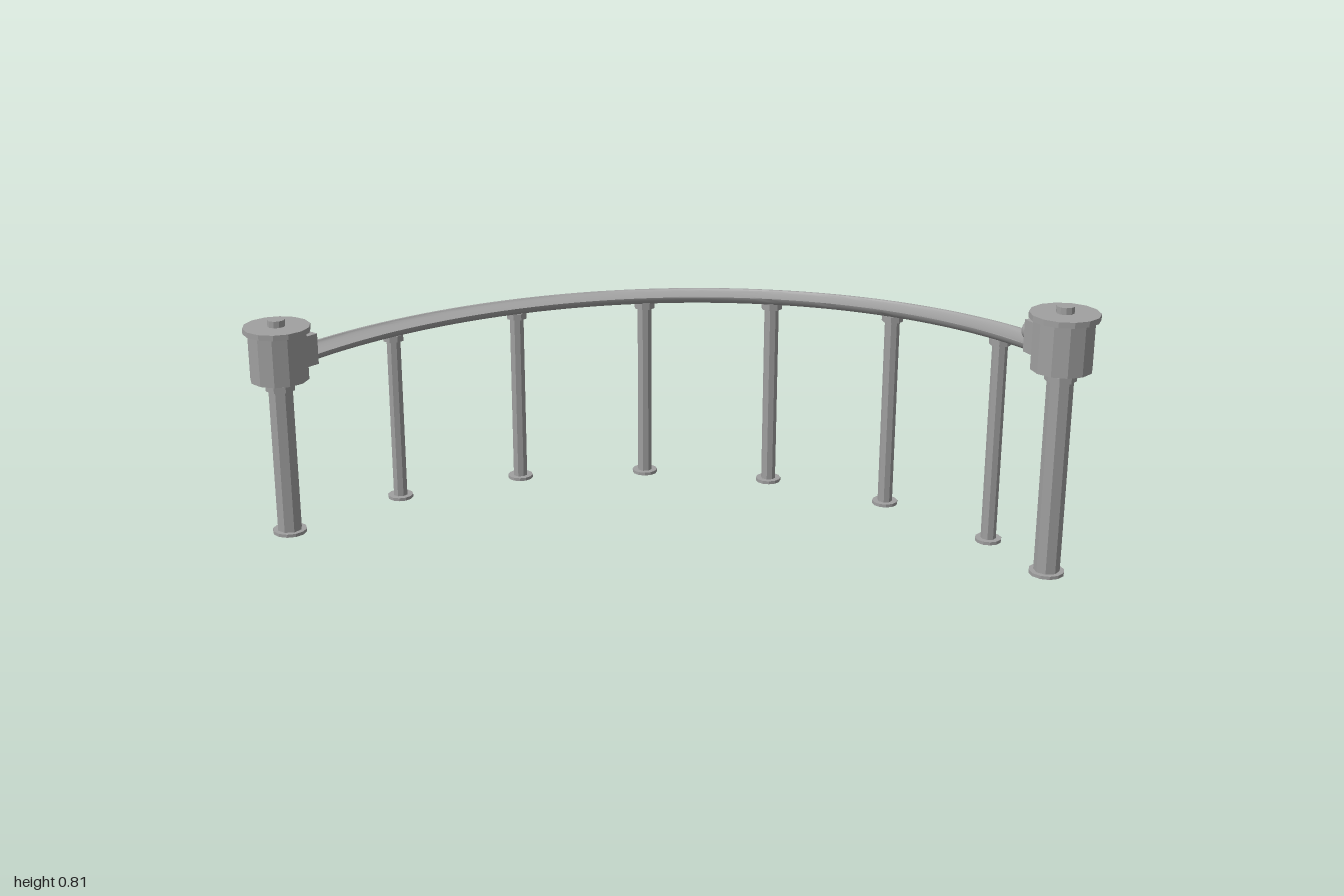
import * as THREE from 'three';
import { toCreasedNormals } from 'three/addons/utils/BufferGeometryUtils.js';

const CX = -0.405, CZ = 0.535, R = 1.31;   // centre and radius of the curved run
const A0 = -18.5, A1 = 94.5;               // start and end angles in degrees
const rad = THREE.MathUtils.degToRad;
const rimY = a => 0.555 + 0.123 * (a - A0) / (A1 - A0);
const onArc = (a, y = 0, out = 0) => new THREE.Vector3(
  CX + (R + out) * Math.sin(rad(a)), y, CZ - (R + out) * Math.cos(rad(a)));

export function createModel() {
  const model = new THREE.Group();
  const grey = new THREE.MeshStandardMaterial({ color: 0xa0a0a0 });
  grey.name = 'grey';

  const add = (parent, name, geometry, x = 0, y = 0, z = 0) => {
    const mesh = new THREE.Mesh(geometry, grey);
    mesh.name = name;
    mesh.position.set(x, y, z);
    parent.add(mesh);
    return mesh;
  };
  // Faceted upright cylinder between two heights
  const drum = (parent, name, r, y0, y1, sides) => add(parent, name,
    toCreasedNormals(new THREE.CylinderGeometry(r, r, y1 - y0, sides), 0.3), 0, (y0 + y1) / 2, 0);

  // Sloping curved trough: a crescent section swept around the arc
  const n = 10, steps = 64, section = [];
  for (let k = 0; k <= n; k++) {
    const t = Math.PI * (1 + k / n);
    section.push([0.055 * Math.cos(t), 0.03 * Math.sin(t)]);
  }
  for (let k = n; k >= 0; k--) {
    const t = Math.PI * (1 + k / n);
    section.push([0.047 * Math.cos(t), 0.012 * Math.sin(t)]);
  }
  const m = section.length, pos = [], index = [];
  for (let i = 0; i <= steps; i++) {
    const a = A0 + (A1 - A0) * i / steps;
    for (const [u, v] of section) pos.push(...onArc(a, rimY(a) + v, u).toArray());
  }
  const quad = (a, b, c, d) => index.push(a, b, c, a, c, d);
  for (let i = 0; i < steps; i++) {
    for (let j = 0; j < m; j++) {
      const k = (j + 1) % m;
      quad(i * m + j, i * m + k, (i + 1) * m + k, (i + 1) * m + j);
    }
  }
  for (let k = 0; k < n; k++) {
    const e = steps * m;
    quad(e + k, e + k + 1, e + m - 2 - k, e + m - 1 - k);
    quad(m - 1 - k, m - 2 - k, k + 1, k);
  }
  const trough = new THREE.BufferGeometry();
  trough.setAttribute('position', new THREE.Float32BufferAttribute(pos, 3));
  trough.setIndex(index);
  add(model, 'trackTrough', toCreasedNormals(trough, 0.6));

  // Six slim support pillars under the trough
  for (let i = 0; i < 6; i++) {
    const a = -3.9 + 18.05 * i, top = rimY(a) - 0.026;
    const pillar = new THREE.Group();
    pillar.name = 'supportPillar';
    pillar.position.copy(onArc(a));
    drum(pillar, 'pillarBase', 0.04, 0, 0.01, 12);
    drum(pillar, 'pillarShaft', 0.023, 0.01, top - 0.02, 8);
    drum(pillar, 'pillarCap', 0.033, top - 0.02, top, 8);
    model.add(pillar);
  }

  // End towers: thick post, tank with lid and knob, doorway frame over the trough
  const tower = (name, x, z, tankY, frameY, heading) => {
    const g = new THREE.Group();
    g.name = name;
    g.position.set(x, 0, z);
    drum(g, 'towerBase', 0.052, 0, 0.01, 12);
    drum(g, 'towerPost', 0.038, 0.01, tankY - 0.032, 8);
    drum(g, 'towerCap', 0.046, tankY - 0.032, tankY - 0.014, 8);
    drum(g, 'tank', 0.088, tankY, tankY + 0.148, 12);
    drum(g, 'lid', 0.1, tankY + 0.148, tankY + 0.165, 14);
    drum(g, 'lidKnob', 0.026, tankY + 0.165, tankY + 0.185, 10);
    const frame = new THREE.Group();
    frame.name = 'doorwayFrame';
    frame.rotation.y = heading;
    for (const s of [-1, 1]) {
      add(frame, 'framePost', new THREE.BoxGeometry(0.018, 0.09, 0.05), s * 0.048, frameY + 0.02, 0.08);
    }
    add(frame, 'frameLintel', new THREE.BoxGeometry(0.114, 0.015, 0.05), 0, frameY + 0.0625, 0.08);
    g.add(frame);
    model.add(g);
  };
  tower('lowerTower', -0.9, -0.68, 0.492, 0.55, rad(110));
  tower('upperTower', 0.895, 0.725, 0.625, 0.68, rad(176));

  // Ball resting at the upper end
  const p = onArc(92.4, 0.7);
  add(model, 'ball', new THREE.SphereGeometry(0.034, 20, 14), p.x, p.y, p.z);

  return model;
}
